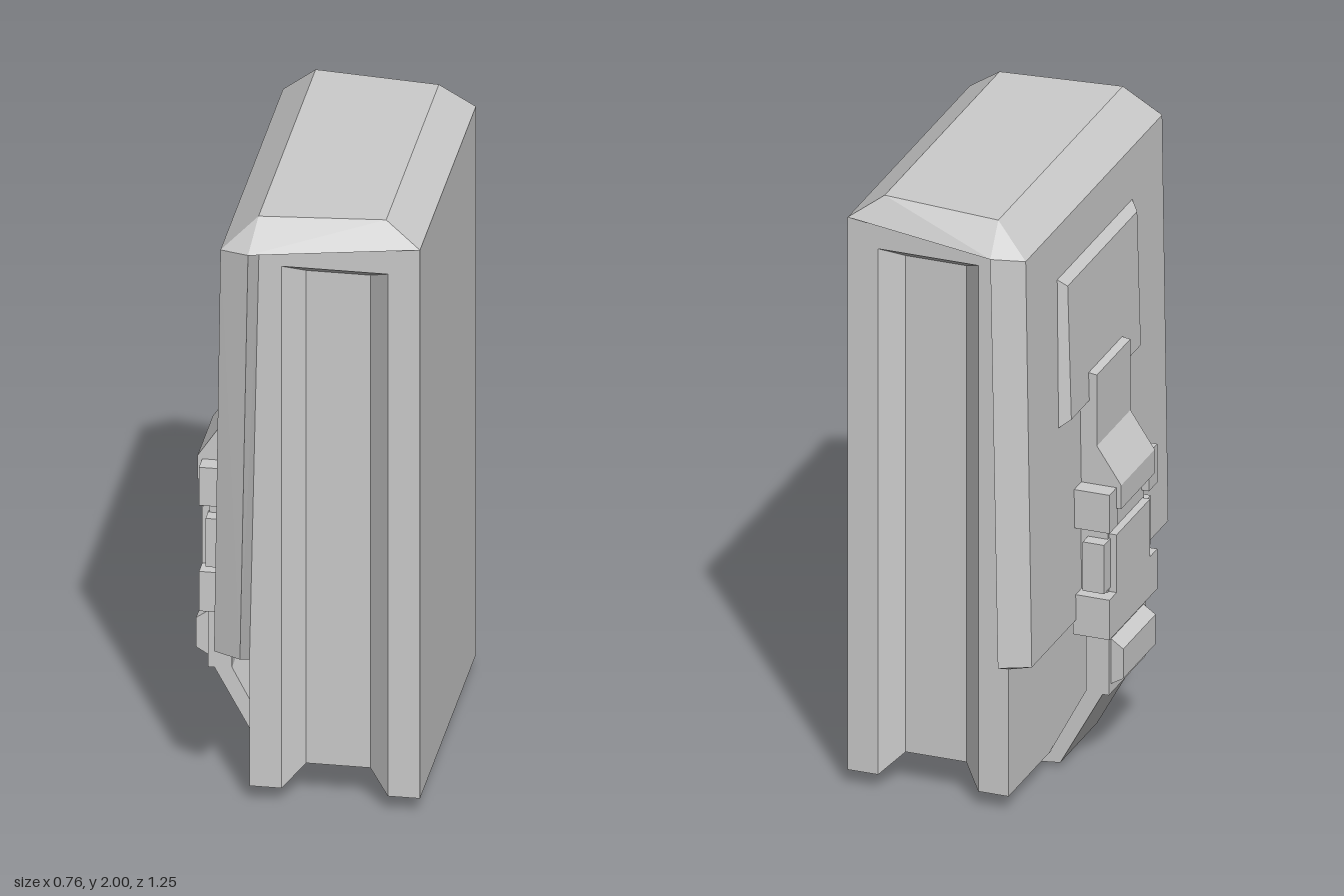
import * as THREE from 'three';
import { ConvexGeometry } from 'three/addons/geometries/ConvexGeometry.js';

const material = new THREE.MeshStandardMaterial({ color: 0xcccccc, flatShading: true });

// Profile in x,y extruded along z between z0 and z1
function slab(name, points, z0, z1) {
  const shape = new THREE.Shape(points.map(([x, y]) => new THREE.Vector2(x, y)));
  const geometry = new THREE.ExtrudeGeometry(shape, { depth: z1 - z0, bevelEnabled: false });
  geometry.translate(0, 0, z0);
  const mesh = new THREE.Mesh(geometry, material);
  mesh.name = name;
  return mesh;
}

// Faceted solid from corners mirrored across z
function facetedSolid(name, corners) {
  const points = corners.flatMap(([x, y, z]) => [new THREE.Vector3(x, y, z), new THREE.Vector3(x, y, -z)]);
  const mesh = new THREE.Mesh(new ConvexGeometry(points), material);
  mesh.name = name;
  return mesh;
}

function block(name, x0, x1, y0, y1, z0, z1) {
  return slab(name, [[x0, y0], [x1, y0], [x1, y1], [x0, y1]], z0, z1);
}

// Raised frame with a bevelled groove, open at the bottom; side is +1 or -1 in z
function grooveFrame(side) {
  const inner = 0.445, outer = 0.51;
  const loop = (x0, x1, y0, y1, z) => [[x0, y0, z], [x0, y1, z], [x1, y1, z], [x1, y0, z]];
  const rings = [
    loop(-0.15, 0.38, 0.05, 1.92, inner),
    loop(-0.15, 0.38, 0.05, 1.92, outer),
    loop(-0.05, 0.28, 0.05, 1.83, outer),
    loop(0.015, 0.215, 0.11, 1.79, inner),
  ];
  const positions = [];
  const tri = (a, b, c) => {
    for (const [x, y, z] of side > 0 ? [a, b, c] : [a, c, b]) positions.push(x, y, z * side);
  };
  const quad = (a, b, c, d) => { tri(a, b, c); tri(a, c, d); };
  for (let r = 0; r < 3; r++) {
    const a = rings[r], b = rings[r + 1];
    for (let i = 0; i < 3; i++) quad(a[i], b[i], b[i + 1], a[i + 1]);
  }
  // Lower ends of the two rails
  const [back, rim, lip, floor] = rings;
  const left = [-0.05, 0.05, inner], right = [0.28, 0.05, inner];
  quad(back[0], left, lip[0], rim[0]);
  tri(left, floor[0], lip[0]);
  quad(back[3], rim[3], lip[3], right);
  tri(right, lip[3], floor[3]);
  const geometry = new THREE.BufferGeometry();
  geometry.setAttribute('position', new THREE.Float32BufferAttribute(positions, 3));
  geometry.computeVertexNormals();
  const mesh = new THREE.Mesh(geometry, material);
  mesh.name = side > 0 ? 'frontGrooveFrame' : 'backGrooveFrame';
  return mesh;
}

function createBuckle() {
  const buckle = new THREE.Group();
  buckle.name = 'buckle';

  // Webbing tab flaring into the socket hood
  buckle.add(slab('tab', [[-0.22, 1.35], [-0.295, 1.34], [-0.295, 1.1], [-0.375, 0.98],
    [-0.375, 0.9], [-0.345, 0.9], [-0.345, 0.96], [-0.22, 0.96]], -0.14, 0.14));

  // Insert and lower housing
  buckle.add(block('insert', -0.335, -0.22, 0.6, 0.97, -0.15, 0.15));
  buckle.add(slab('housing', [[-0.24, 0.48], [-0.36, 0.48], [-0.36, 0.81], [-0.24, 0.81]], -0.14, 0.14));
  buckle.add(block('lowerHousing', -0.36, -0.24, 0.48, 0.615, -0.2, 0.2));

  // Side shoulders and release clips
  for (const side of [-1, 1]) {
    const span = (a, b) => (side > 0 ? [a, b] : [-b, -a]);
    buckle.add(block('shoulder', -0.36, -0.24, 0.84, 0.97, ...span(0.13, 0.2)));
    buckle.add(block('releaseClip', -0.34, -0.27, 0.63, 0.795, ...span(0.14, 0.195)));
  }

  // Strap adjuster with raised bar
  buckle.add(block('adjuster', -0.34, -0.265, 0.27, 0.49, -0.155, 0.155));
  buckle.add(slab('adjusterBar', [[-0.33, 0.46], [-0.38, 0.425], [-0.38, 0.325], [-0.33, 0.295]], -0.135, 0.135));
  return buckle;
}

export function createModel() {
  const model = new THREE.Group();
  model.name = 'pouch';

  // Main body with a channel running under it
  model.add(slab('body', [[-0.15, 0.05], [-0.05, 0.05], [0.015, 0.11], [0.215, 0.11],
    [0.28, 0.05], [0.38, 0.05], [0.38, 1.92], [-0.15, 1.92]], -0.445, 0.445));
  model.add(grooveFrame(1), grooveFrame(-1));

  // Lid
  model.add(facetedSolid('lid', [[-0.23, 1.9, 0.57], [-0.135, 1.915, 0.625], [0.38, 1.92, 0.51],
    [-0.12, 1.9, 0.51], [-0.12, 2, 0.52], [0.27, 2, 0.48]]));

  // Hanging flap
  model.add(facetedSolid('flap', [[-0.23, 1.9, 0.57], [-0.25, 0.53, 0.57], [-0.135, 1.915, 0.625],
    [-0.16, 0.535, 0.625], [-0.12, 1.9, 0.51], [-0.15, 0.48, 0.51]]));

  // Raised panel on the flap
  model.add(facetedSolid('flapPanel', [[-0.225, 1.735, 0.32], [-0.24, 1.23, 0.32],
    [-0.258, 1.7, 0.29], [-0.27, 1.25, 0.29]]));

  model.add(createBuckle());

  // Strap passing under the body into the channel
  model.add(slab('strap', [[-0.325, 0.28], [-0.18, 0.015], [-0.03, 0], [0.28, 0.07],
    [0.215, 0.11], [-0.02, 0.05], [-0.15, 0.055], [-0.268, 0.28]], -0.155, 0.155));
  return model;
}
